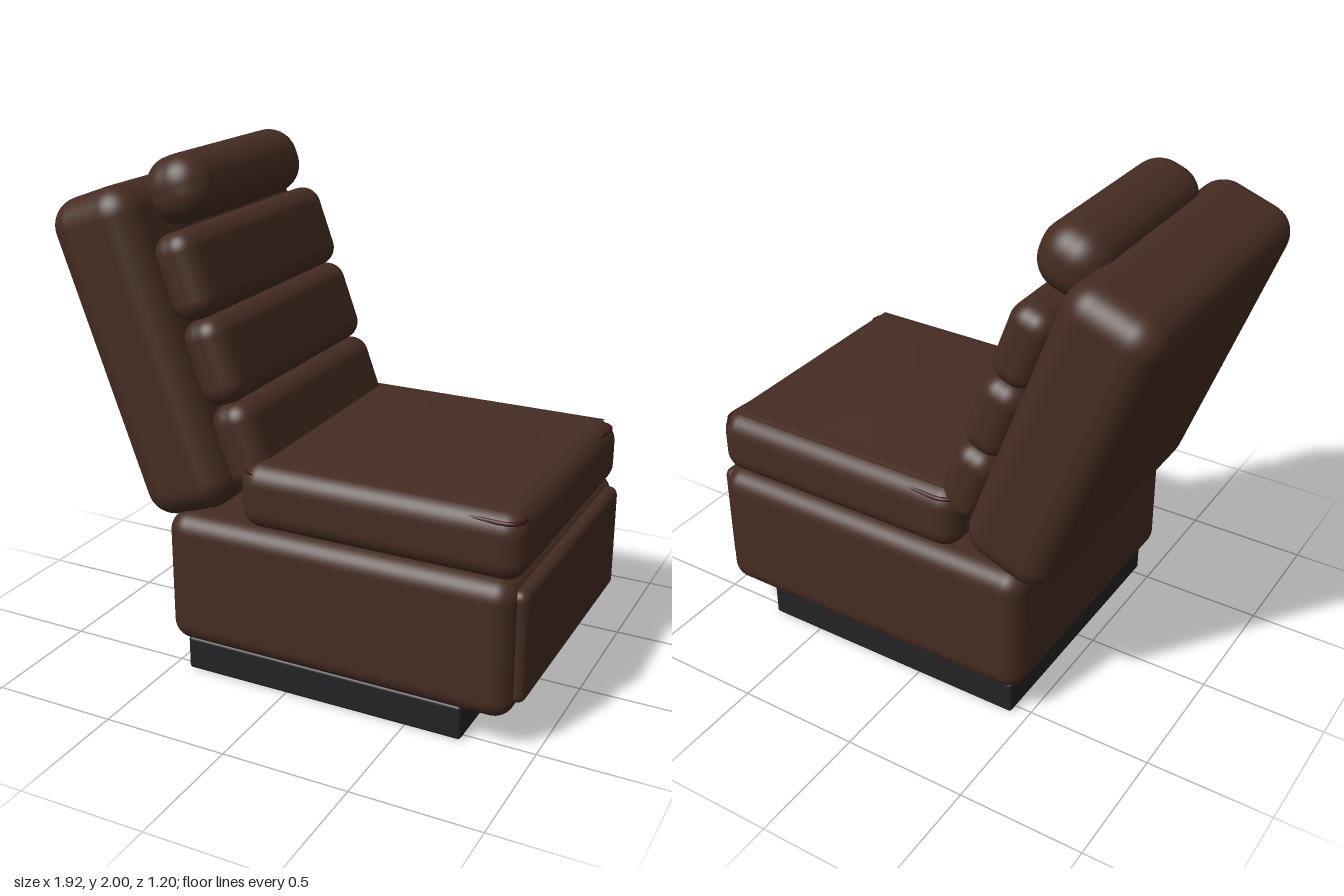
import * as THREE from 'three';
import { RoundedBoxGeometry } from 'three/addons/geometries/RoundedBoxGeometry.js';

const leather = new THREE.MeshStandardMaterial({ color: 0x452c22 });
const pipingRed = new THREE.MeshStandardMaterial({ color: 0x3c1518 });
const black = new THREE.MeshStandardMaterial({ color: 0x232325 });
const brass = new THREE.MeshStandardMaterial({ color: 0xb08d57 });
const TILT = THREE.MathUtils.degToRad(20);

// Closed rounded rectangle in the horizontal plane, as a path for a tube
function roundedLoop(hx, hz, r, y) {
  const path = new THREE.CurvePath();
  const corners = [[1, 1], [-1, 1], [-1, -1], [1, -1]];
  const at = (x, z) => new THREE.Vector3(x, y, z);
  corners.forEach(([sx, sz], i) => {
    const alongX = i % 2 === 1;
    const a = alongX ? at(sx * (hx - r), sz * hz) : at(sx * hx, sz * (hz - r));
    const b = alongX ? at(sx * hx, sz * (hz - r)) : at(sx * (hx - r), sz * hz);
    path.add(new THREE.QuadraticBezierCurve3(a, at(sx * hx, sz * hz), b));
    const [nx, nz] = corners[(i + 1) % 4];
    const next = alongX ? at(nx * (hx - r), nz * hz) : at(nx * hx, nz * (hz - r));
    path.add(new THREE.LineCurve3(b, next));
  });
  return path;
}

export function createModel() {
  const group = new THREE.Group();

  const add = (name, geometry, material, x, y, z = 0, tilt = 0) => {
    const mesh = new THREE.Mesh(geometry, material);
    mesh.name = name;
    mesh.position.set(x, y, z);
    mesh.rotation.z = tilt;
    group.add(mesh);
    return mesh;
  };
  const pad = (name, w, h, d, r, x, y, tilt = 0, material = leather) =>
    add(name, new RoundedBoxGeometry(w, h, d, 6, r), material, x, y, 0, tilt);

  // Plinth with a thin trim line along its front
  pad('plinth', 1.16, 0.14, 1.09, 0.015, 0.145, 0.07, 0, black);
  add('trimStrip', new THREE.BoxGeometry(0.012, 0.012, 0.98), brass, 0.725, 0.136);

  // Upholstered base and its front panel
  pad('base', 1.41, 0.54, 1.2, 0.08, 0.215, 0.41);
  pad('frontPanel', 0.1, 0.44, 1.08, 0.035, 0.905, 0.42);

  // Seat cushion with a gently crowned top
  pad('seatCushion', 1.125, 0.265, 1.13, 0.085, 0.3725, 0.7925);
  const crown = new THREE.PlaneGeometry(1.02, 1.03, 16, 16).rotateX(-Math.PI / 2);
  const p = crown.attributes.position;
  for (let i = 0; i < p.count; i++) {
    const u = Math.abs(p.getX(i)) / 0.51, v = Math.abs(p.getZ(i)) / 0.515;
    p.setY(i, 0.024 * (1 - u ** 1.3) * (1 - v ** 1.3) - 0.003);
  }
  crown.computeVertexNormals();
  add('seatCrown', crown, leather, 0.3725, 0.924);

  // Piping around the top edge of the cushion
  const loop = roundedLoop(0.543, 0.546, 0.07, 0);
  add('seatPiping', new THREE.TubeGeometry(loop, 160, 0.009, 8, true), pipingRed, 0.3725, 0.89);

  // Reclined back shell
  pad('backrest', 0.38, 1.258, 1.2, 0.11, -0.5975, 1.27, TILT);

  // Three padded rolls following the slope of the back
  for (let i = 0; i < 3; i++) {
    pad('backRoll' + (i + 1), 0.18, 0.332, 1.06, 0.075, -0.43 + i * 0.112, 1.58 - i * 0.309, TILT);
  }

  // Headrest bolster
  pad('headrest', 0.265, 0.257, 0.85, 0.115, -0.533, 1.867, TILT);

  return group;
}
